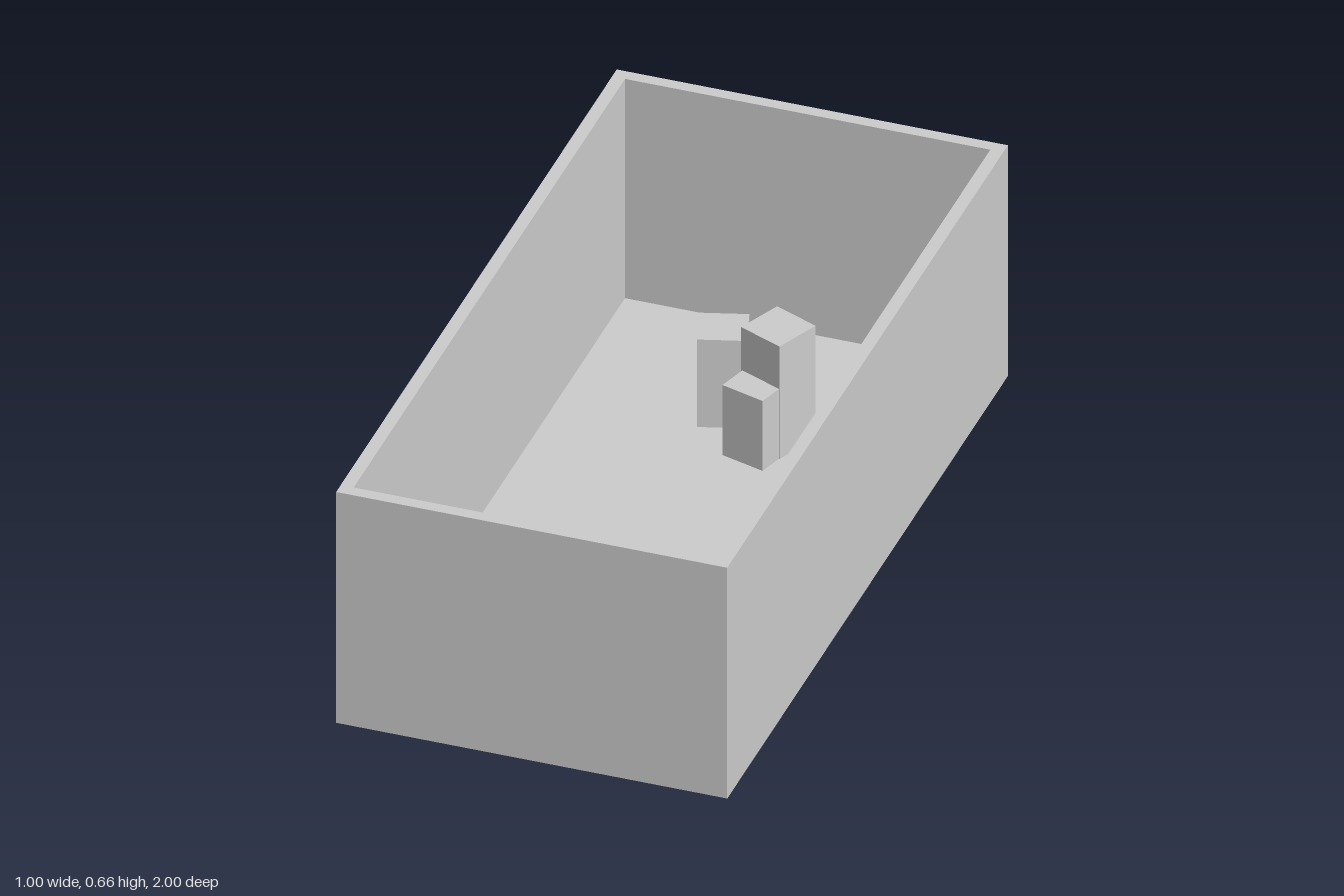
import * as THREE from 'three';

const W = 1, H = 0.66, L = 2, WALL = 0.033;

export function createModel() {
  const group = new THREE.Group();
  const material = new THREE.MeshStandardMaterial({ color: 0xcccccc, flatShading: true });

  const add = (name, geometry, x, y, z, turn = 0) => {
    const mesh = new THREE.Mesh(geometry, material);
    mesh.name = name;
    mesh.position.set(x, y, z);
    mesh.rotation.y = turn;
    group.add(mesh);
    return mesh;
  };

  // Rectangle outline, drawn in the ground plane
  const rect = (path, w, l) => path
    .moveTo(-w / 2, -l / 2).lineTo(w / 2, -l / 2)
    .lineTo(w / 2, l / 2).lineTo(-w / 2, l / 2).closePath();

  // Four walls as one frame, running the full height
  const outline = rect(new THREE.Shape(), W, L);
  outline.holes.push(rect(new THREE.Path(), W - 2 * WALL, L - 2 * WALL));
  const frame = new THREE.ExtrudeGeometry(outline, { depth: H, bevelEnabled: false });
  frame.rotateX(-Math.PI / 2);
  add('walls', frame, 0, 0, 0);

  // Floor slab between the walls
  add('floor', new THREE.BoxGeometry(W - 2 * WALL, WALL, L - 2 * WALL), 0, WALL / 2, 0);

  // Square blocks standing on the floor: name, side, height, x, z, turn
  const blocks = [
    ['leftBlock', 0.12, 0.25, -0.07, -0.56, 0.29],
    ['tallBlock', 0.127, 0.322, 0.092, -0.501, -0.41],
    ['lowBlock', 0.12, 0.2, 0.064, -0.429, -0.29],
  ];
  for (const [name, side, height, x, z, turn] of blocks) {
    add(name, new THREE.BoxGeometry(side, height, side), x, WALL + height / 2, z, turn);
  }
  return group;
}
